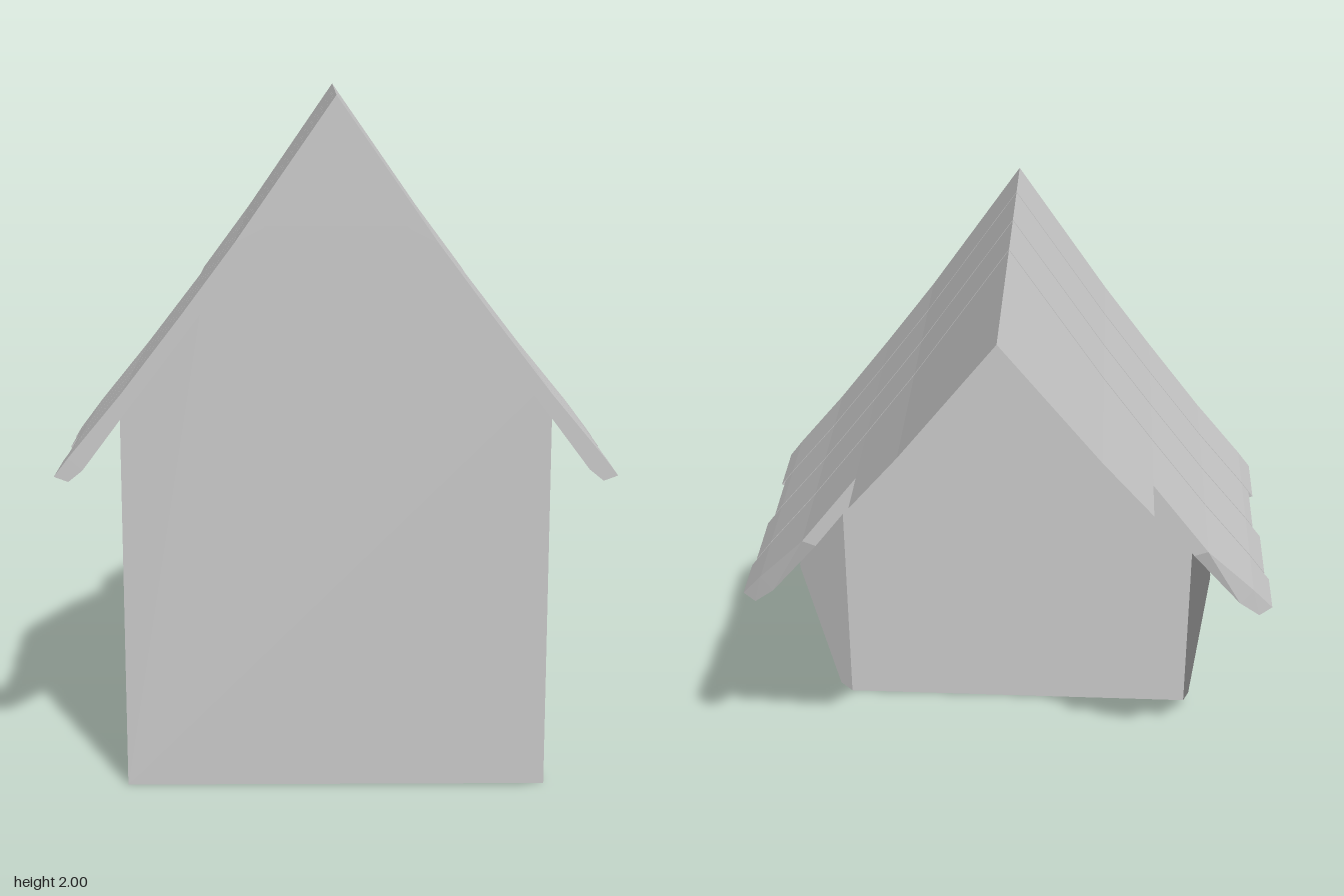
import * as THREE from 'three';
import { mergeGeometries } from 'three/addons/utils/BufferGeometryUtils.js';

const material = new THREE.MeshStandardMaterial({ color: 0xcccccc, flatShading: true, side: THREE.DoubleSide });

// Half profiles of the roof, from the ridge to just above the eave
const OUTER = [[0, 2], [0.28, 1.6], [0.43, 1.4], [0.6, 1.18], [0.75, 1.0]];
const INNER = [[0, 1.92], [0.2, 1.64], [0.38, 1.4], [0.56, 1.165], [0.71, 0.965]];

// Quad strip between two 3D lines with the same number of points
function strip(a, b) {
  const pos = [];
  for (let i = 0; i < a.length - 1; i++) {
    pos.push(...a[i], ...b[i], ...b[i + 1], ...a[i], ...b[i + 1], ...a[i + 1]);
  }
  const g = new THREE.BufferGeometry();
  g.setAttribute('position', new THREE.Float32BufferAttribute(pos, 3));
  g.computeVertexNormals();
  return g;
}

// Places a profile at a depth given by a rule z(x), on the side s = 1 or -1
const line = (profile, s, z) => profile.map(([x, y]) => [s * x, y, z(x)]);

function addMesh(group, name, geometry) {
  const mesh = new THREE.Mesh(geometry, material);
  mesh.name = name;
  group.add(mesh);
  return mesh;
}

// Both slopes of one roof course; capFrom is the first profile point of the closed back edge
function course(zFront, zBack, eave, capFrom = 0) {
  const tipY = 1.0 - (eave - 0.75) * 1.31;
  const outer = [...OUTER, [eave, tipY]];
  const inner = [...INNER, [eave - 0.04, tipY - 0.015]];
  const front = () => zFront;
  const parts = [];
  for (const s of [1, -1]) {
    const of = line(outer, s, front), ob = line(outer, s, zBack);
    const nf = line(inner, s, front), nb = line(inner, s, zBack);
    const last = outer.length - 1;
    parts.push(
      strip(s > 0 ? of : ob, s > 0 ? ob : of),
      strip(s > 0 ? nb : nf, s > 0 ? nf : nb),
      strip(s > 0 ? nf : of, s > 0 ? of : nf),
      strip([of[last], nf[last]], [ob[last], nb[last]]),
      strip(ob.slice(capFrom), nb.slice(capFrom)),
    );
  }
  return mergeGeometries(parts);
}

export function createModel() {
  const group = new THREE.Group();

  // Front gable wall
  const gable = new THREE.Shape();
  gable.moveTo(-0.61, 0);
  gable.lineTo(0.61, 0);
  gable.lineTo(0.61, 1.1);
  for (const [x, y] of INNER.slice(0, 4).reverse()) gable.lineTo(x, y);
  for (const [x, y] of INNER.slice(1, 4)) gable.lineTo(-x, y);
  gable.lineTo(-0.61, 1.1);
  addMesh(group, 'frontWall', new THREE.ShapeGeometry(gable)).position.z = 0.57;

  // Side walls, cut at the back along the slope they sit on
  const cheek = new THREE.Shape([[-0.57, 0], [-0.33, 0.21], [0.3, 1.09], [0.3, 1.1], [-0.57, 1.1]]
    .map(([x, y]) => new THREE.Vector2(x, y)));
  for (const s of [1, -1]) {
    const wall = addMesh(group, s > 0 ? 'leftWall' : 'rightWall', new THREE.ShapeGeometry(cheek).rotateY(Math.PI / 2));
    wall.position.x = s * 0.61;
  }

  // Roof courses with narrow grooves between them and uneven eaves
  const courses = [[0.645, 0.437, 0.79], [0.431, 0.208, 0.775], [0.202, -0.018, 0.8]];
  for (const [z0, z1, eave] of courses) addMesh(group, 'roofCourse', course(z0, () => z1, eave));

  // Rear course, clipped back towards the eave
  const clip = (x) => (x < 0.6 ? -0.3 : x < 0.75 ? -0.3 + (x - 0.6) * 0.53 : -0.22 + (x - 0.75) * 0.58);
  addMesh(group, 'rearCourse', course(-0.024, clip, 0.815, 2));

  // Sheet closing the grooves from inside the roof
  const middle = OUTER.map(([x, y], i) => [(x + INNER[i][0]) / 2, (y + INNER[i][1]) / 2]);
  const underlay = [1, -1].map((s) => strip(line(middle, s, () => 0.45), line(middle, s, () => -0.04)));
  addMesh(group, 'roofUnderlay', mergeGeometries(underlay));

  // Thin rear ridge extension, tapering down its back edge
  const tail = OUTER.slice(0, 3);
  const taper = (x) => -0.647 + x * 0.4;
  const tails = [1, -1].map((s) => strip(line(tail, s, () => -0.3), line(tail, s, taper)));
  addMesh(group, 'ridgeExtension', mergeGeometries(tails));

  return group;
}
